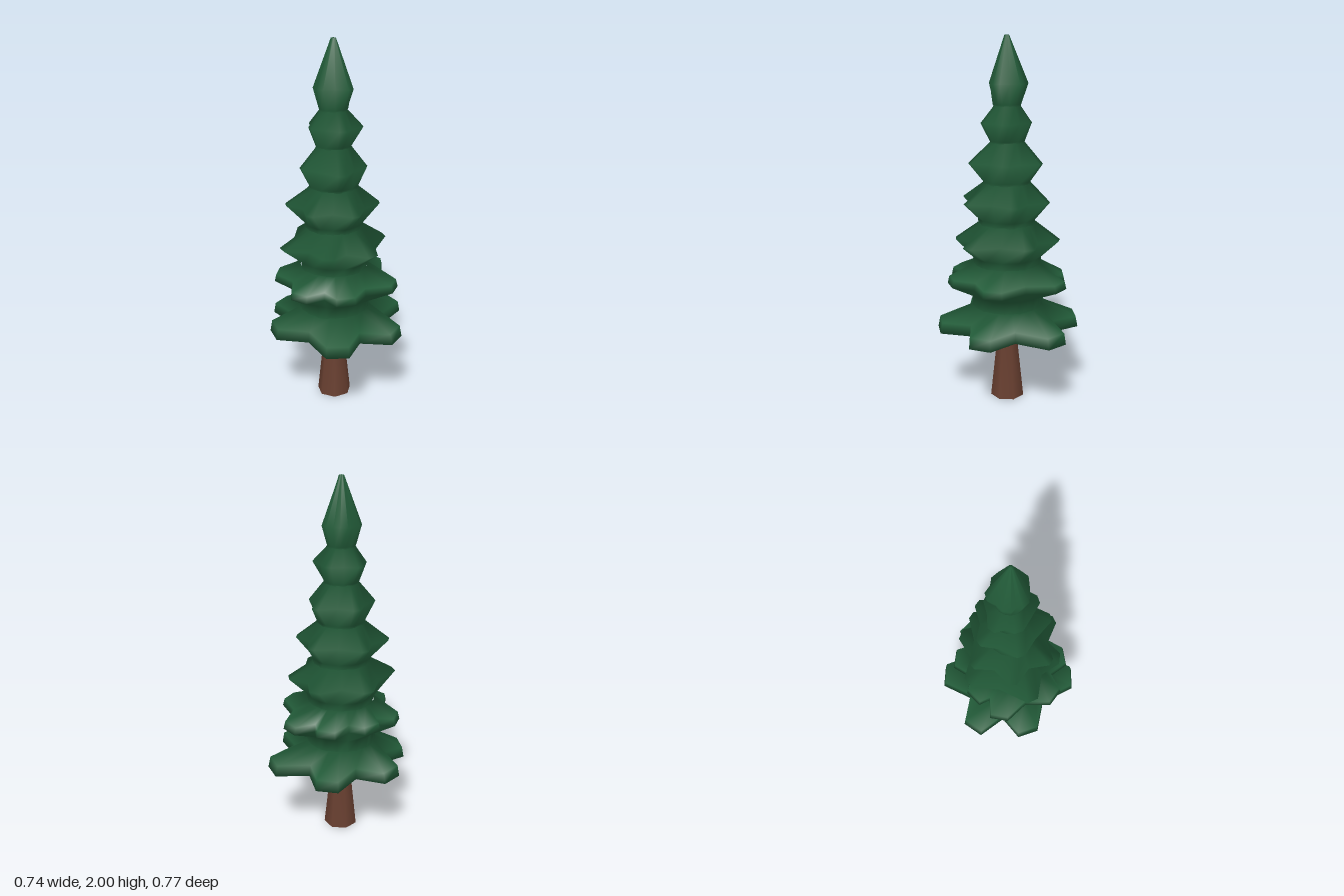
import * as THREE from 'three';

const CX = -0.04; // trunk axis

// Star outline from its bough tips: every tip is blunted by `spread` to each
// side, and between neighbouring tips the outline falls back to a valley.
function starOutline(tips, spread, valley) {
  const dirs = tips.map(([x, z]) => new THREE.Vector2(x - CX, z));
  return dirs.flatMap((tip, i) => {
    const next = dirs[(i + 1) % dirs.length];
    const side = new THREE.Vector2(-tip.y, tip.x).setLength(spread);
    const dip = tip.clone().normalize().add(next.clone().normalize());
    dip.setLength(valley * (tip.length() + next.length()) / 2);
    return [tip.clone().sub(side), tip.clone().add(side), dip];
  });
}

// One ring of boughs lofted from a short neck to a star rim and in to a waist
function boughTier(low, high, { y, neck, thick, spread, valley, tips }, closed) {
  const outline = starOutline(tips, spread, valley);
  const n = outline.length;
  const around = outline.map(p => p.clone().normalize());
  const pos = [];
  const index = [];
  const ring = (points, s, h) => points.forEach(p => pos.push(p.x * s, h, p.y * s));

  ring(around, low.r, low.y);
  ring(around, low.r + 0.006, low.y + neck);
  ring(outline, 1, y - thick / 2);
  if (thick > 0) ring(outline, 0.97, y + thick / 2);
  ring(around, high.r, high.y);
  const top = pos.length / 3 - n; // first vertex of the upper waist
  for (let k = 0; k < top; k += n) {
    for (let i = 0; i < n; i++) {
      const a = k + i, b = k + (i + 1) % n;
      index.push(a, a + n, b, b, a + n, b + n);
    }
  }
  // Close the underside of the lowest tier or the tip of the tree
  if (closed === 'bottom') {
    pos.push(0, low.y, 0);
    for (let i = 0; i < n; i++) index.push(top + n, i, (i + 1) % n);
  } else if (closed === 'top') {
    pos.push(0, high.y, 0);
    for (let i = 0; i < n; i++) index.push(top + n, top + (i + 1) % n, top + i);
  }

  const geo = new THREE.BufferGeometry();
  geo.setAttribute('position', new THREE.Float32BufferAttribute(pos, 3));
  geo.setIndex(index);
  geo.computeVertexNormals();
  // Horizontal normals at the waists blend neighbouring tiers smoothly
  around.forEach((p, i) => {
    if (closed !== 'bottom') geo.attributes.normal.setXYZ(i, p.x, 0, p.y);
    if (closed !== 'top') geo.attributes.normal.setXYZ(top + i, p.x, 0, p.y);
  });
  return geo;
}

export function createModel() {
  const group = new THREE.Group();
  const needles = new THREE.MeshStandardMaterial({ color: 0x235d3a });
  needles.name = 'needleGreen';
  const bark = new THREE.MeshStandardMaterial({ color: 0x683f30, side: THREE.DoubleSide });
  bark.name = 'barkBrown';

  // Flared trunk, open underneath
  const profile = [[0.094, 0], [0.064, 0.28], [0.062, 0.42]]
    .map(([r, h]) => new THREE.Vector2(r, h));
  const trunk = new THREE.Mesh(new THREE.LatheGeometry(profile, 7), bark);
  trunk.name = 'trunk';
  trunk.position.x = CX;
  group.add(trunk);

  // Bough tiers from the ground up, each starting just below the last waist
  let waist = { y: 0.395, r: 0.18 };
  const addTier = (name, y1, r1, shape, closed) => {
    const high = { y: y1, r: r1 };
    const mesh = new THREE.Mesh(boughTier(waist, high, shape, closed), needles);
    mesh.name = name;
    mesh.position.x = CX;
    group.add(mesh);
    waist = { y: y1 - 0.01, r: r1 };
  };

  addTier('lowestBoughs', 0.55, 0.19, {
    y: 0.445, neck: 0.006, thick: 0.06, spread: 0.06, valley: 0.68,
    tips: [[-0.335, -0.195], [-0.06, -0.375], [0.28, -0.22], [0.345, 0.15], [0.01, 0.385], [-0.335, 0.24]],
  }, 'bottom');
  addTier('secondBoughs', 0.79, 0.182, {
    y: 0.705, neck: 0.075, thick: 0.04, spread: 0.05, valley: 0.77,
    tips: [[-0.365, 0.01], [-0.19, -0.285], [0, -0.28], [0.23, -0.16], [0.31, 0.04], [0.06, 0.335], [-0.26, 0.24]],
  });
  addTier('thirdBoughs', 1.015, 0.153, {
    y: 0.925, neck: 0.05, thick: 0, spread: 0.03, valley: 0.75,
    tips: [[-0.31, -0.14], [0.03, -0.275], [0.235, -0.08], [0.19, 0.17], [-0.11, 0.305], [-0.28, 0.14]],
  });
  addTier('fourthBoughs', 1.235, 0.125, {
    y: 1.14, neck: 0.035, thick: 0, spread: 0.02, valley: 0.76,
    tips: [[-0.21, -0.19], [0.02, -0.24], [0.2, -0.02], [0.11, 0.19], [-0.16, 0.23], [-0.29, 0.03]],
  });
  addTier('fifthBoughs', 1.455, 0.09, {
    y: 1.345, neck: 0.02, thick: 0, spread: 0.02, valley: 0.77,
    tips: [[-0.19, -0.1], [0.02, -0.175], [0.16, -0.01], [0.04, 0.155], [-0.18, 0.155]],
  });
  addTier('sixthBoughs', 1.645, 0.07, {
    y: 1.555, neck: 0.015, thick: 0, spread: 0.02, valley: 0.82,
    tips: [[-0.15, -0.07], [-0.04, -0.145], [0.087, -0.03], [0.03, 0.135], [-0.12, 0.12]],
  });
  addTier('crown', 2, 0.013, {
    y: 1.755, neck: 0.015, thick: 0, spread: 0.02, valley: 0.86,
    tips: [[-0.14, -0.01], [-0.09, -0.09], [0.03, -0.09], [0.065, 0.02], [-0.04, 0.11]],
  }, 'top');

  return group;
}
